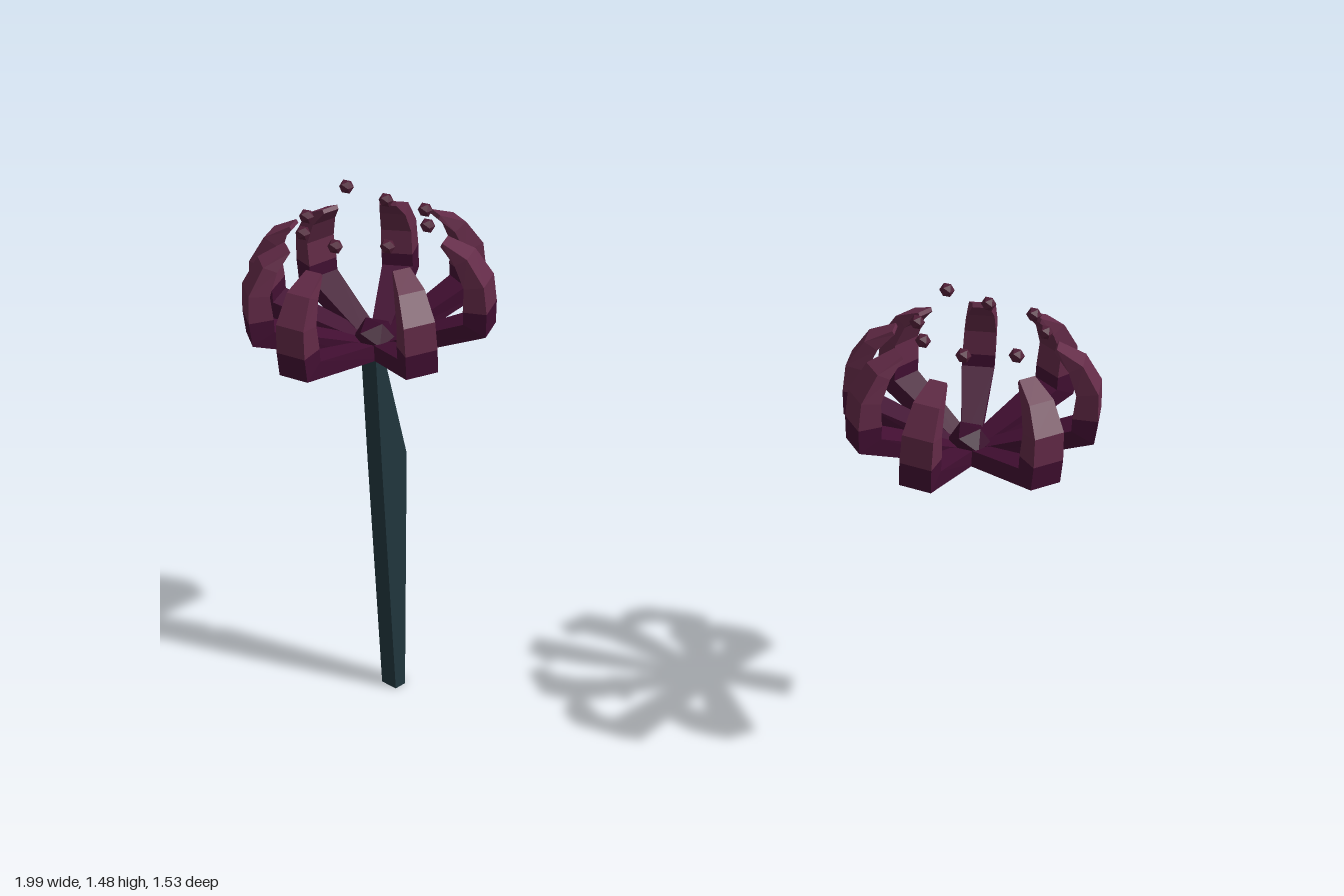
import * as THREE from 'three';

const mat = (name, color) => {
  const m = new THREE.MeshStandardMaterial({ color, flatShading: true });
  m.name = name;
  return m;
};

// Flat-faced skin over matching rings; rings run counter-clockwise about the travel direction
function loft(rings) {
  const pos = [];
  const tri = (...pts) => pts.forEach((p) => pos.push(...p));
  const n = rings[0].length;
  for (let k = 0; k < rings.length - 1; k++) {
    for (let i = 0; i < n; i++) {
      const j = (i + 1) % n;
      const [a, b, c, d] = [rings[k][i], rings[k][j], rings[k + 1][j], rings[k + 1][i]];
      tri(a, b, c);
      tri(a, c, d);
    }
  }
  const first = rings[0], last = rings[rings.length - 1];
  for (let i = 1; i < n - 1; i++) {
    tri(first[0], first[i + 1], first[i]);
    tri(last[0], last[i], last[i + 1]);
  }
  const g = new THREE.BufferGeometry();
  g.setAttribute('position', new THREE.Float32BufferAttribute(pos, 3));
  g.computeVertexNormals();
  return g;
}

// Petal angle in degrees (from +x towards +z) and reach
const PETALS = [
  [-121, 0.30], [-74, 0.315], [-26, 0.325], [24, 0.355],
  [78, 0.37], [120, 0.34], [155, 0.335], [190, 0.31],
];

// Stamen tips relative to the flower base: x, y, z
const STAMENS = [
  [-0.03, 0.41, 0.2], [0.095, 0.41, 0.205], [-0.105, 0.41, 0.12], [0.195, 0.41, 0.12],
  [0.175, 0.41, -0.04], [0.095, 0.41, -0.11], [-0.03, 0.41, -0.09], [-0.13, 0.435, -0.045],
];

// Four-cornered cross-sections of one petal, from the heart to the tip
function petalRings(deg, R) {
  const a = THREE.MathUtils.degToRad(deg), c = Math.cos(a), s = Math.sin(a);
  // outer radius, outer y, inner radius, inner y, half width
  const sections = [
    [0, 0, 0, 0.045, 0.022],
    [R - 0.005, 0.115, R - 0.065, 0.145, 0.043],
    [R, 0.18, R - 0.065, 0.18, 0.043],
    [R - 0.005, 0.255, R - 0.06, 0.245, 0.042],
    [R - 0.05, 0.325, R - 0.085, 0.305, 0.035],
    [R - 0.12, 0.358, R - 0.125, 0.348, 0.023],
  ];
  const place = (r, y, w) => {
    const x = r * c - w * s, z = r * s + w * c;
    return [x, y - 0.03 * x - 0.06 * z, z];
  };
  return sections.map(([ro, yo, ri, yi, w]) =>
    [place(ro, yo, w), place(ro, yo, -w), place(ri, yi, -w), place(ri, yi, w)]);
}

function makeFlower(m) {
  const flower = new THREE.Group();
  const add = (geo, material, name, p = [0, 0, 0]) => {
    const mesh = new THREE.Mesh(geo, material);
    mesh.name = name;
    mesh.position.set(...p);
    flower.add(mesh);
  };
  for (const [deg, reach] of PETALS) {
    const rings = petalRings(deg, reach);
    add(loft(rings.slice(0, 3)), m.base, 'petalBase');
    add(loft(rings.slice(2)), m.tip, 'petalTip');
  }
  // Heart and floating stamen tips
  add(new THREE.IcosahedronGeometry(0.06, 0), m.heart, 'heart', [0, 0.055, 0.005]);
  const bead = new THREE.IcosahedronGeometry(0.02, 0);
  for (const p of STAMENS) add(bead, m.stamen, 'stamen', p);
  return flower;
}

// Stem with a straight front and a back that swells at mid height
function stemGeometry() {
  const levels = [[0, 0.43, 0.378], [0.71, 0.43, 0.322], [1.05, 0.428, 0.388]]; // y, front z, back z
  const w = 0.028, x0 = -0.685;
  return loft(levels.map(([y, f, b]) => [
    [x0 - w, y, f], [x0 + w, y, f], [x0 + w, y, b + 0.016],
    [x0 + 0.012, y, b], [x0 - 0.012, y, b], [x0 - w, y, b + 0.016],
  ]));
}

export function createModel() {
  const m = {
    base: mat('deep plum', 0x420f32),
    tip: mat('dusty plum', 0x632a47),
    heart: mat('dark plum', 0x3a0c2c),
    stamen: mat('wine', 0x521f38),
    stem: mat('dark teal', 0x21363d),
  };
  const model = new THREE.Group();
  model.name = 'flowers';

  const stem = new THREE.Mesh(stemGeometry(), m.stem);
  stem.name = 'stem';
  model.add(stem);

  // One bloom on the stem, one floating lower behind
  const tall = makeFlower(m);
  tall.name = 'stemmedBloom';
  tall.position.set(-0.68, 1.03, 0.4);
  const low = makeFlower(m);
  low.name = 'floatingBloom';
  low.position.set(0.65, 0.835, -0.445);
  model.add(tall, low);
  return model;
}
